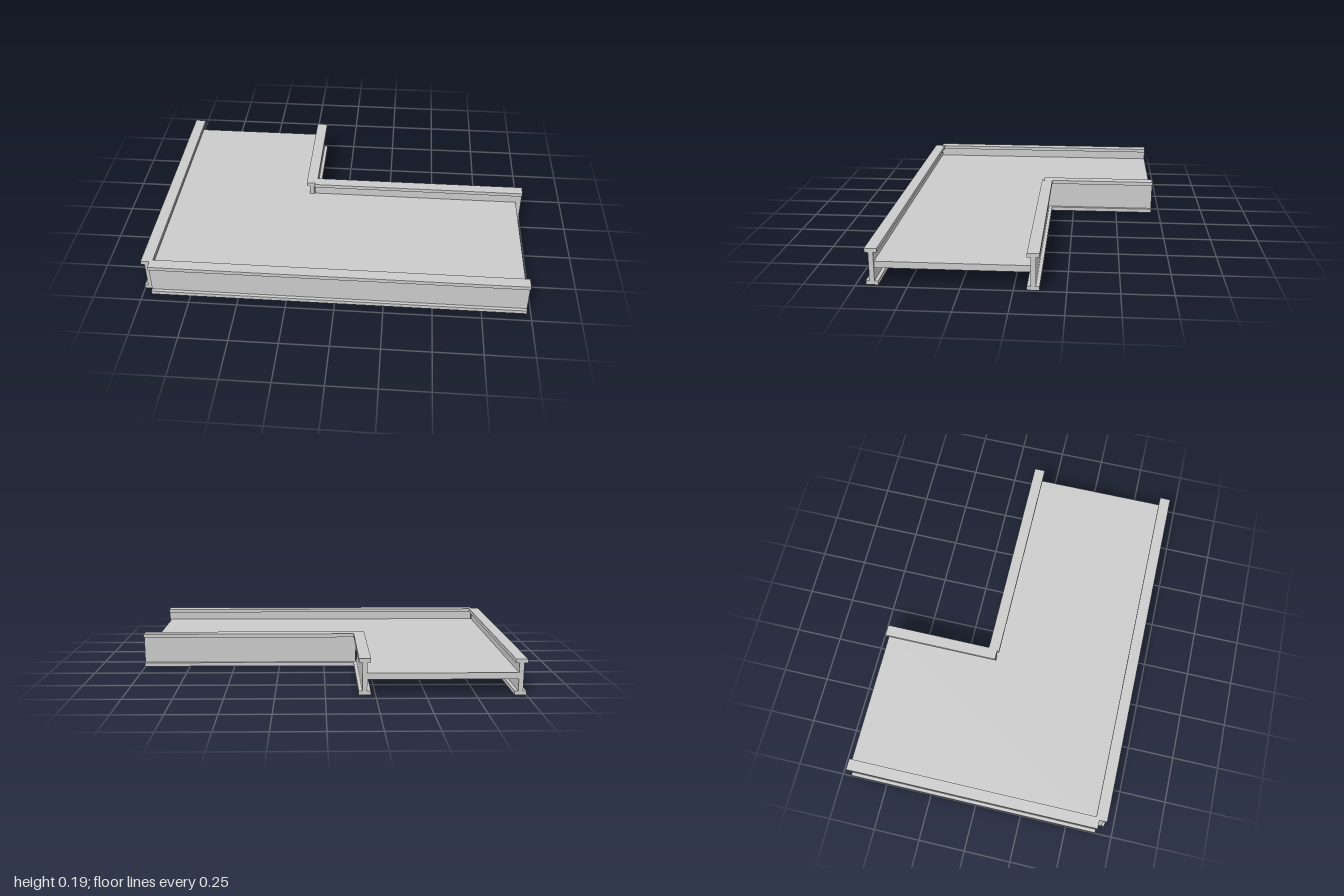
import * as THREE from 'three';

const material = new THREE.MeshStandardMaterial({ color: 0xcccccc, flatShading: true });
const FLANGE = 0.06, THICK = 0.02, WEB = 0.024, HEIGHT = 0.184;

// I-section beam extruded along +z, centred on its length, base at y = 0
function makeBeam(name, length) {
  const f = FLANGE / 2, w = WEB / 2, top = HEIGHT - THICK;
  const half = [[f, 0], [f, THICK], [w, THICK], [w, top], [f, top], [f, HEIGHT]];
  const mirrored = half.map(([x, y]) => [-x, y]).reverse();
  const shape = new THREE.Shape([...half, ...mirrored].map(([x, y]) => new THREE.Vector2(x, y)));
  const geometry = new THREE.ExtrudeGeometry(shape, { depth: length, bevelEnabled: false });
  geometry.translate(0, 0, -length / 2);
  const mesh = new THREE.Mesh(geometry, material);
  mesh.name = name;
  return mesh;
}

export function createModel() {
  const model = new THREE.Group();
  model.name = 'framedPlatform';

  // L-shaped deck, drawn in plan (shape y = -z) and laid flat
  const plan = [[-0.96, -0.66], [0.97, -0.66], [0.97, 0.08], [-0.19, 0.08], [-0.19, 0.7], [-0.96, 0.7]];
  const deckShape = new THREE.Shape(plan.map(([x, y]) => new THREE.Vector2(x, y)));
  const deckGeometry = new THREE.ExtrudeGeometry(deckShape, { depth: 0.033, bevelEnabled: false });
  deckGeometry.rotateX(-Math.PI / 2);
  const deck = new THREE.Mesh(deckGeometry, material);
  deck.name = 'deck';
  deck.position.y = 0.083;
  model.add(deck);

  // Edge beams: name, axis, start, end, centre line, base height
  const beams = [
    ['longSideBeam', 'z', -0.7, 0.66, -0.97, 0.001],
    ['frontBeam', 'x', -0.955, 0.98, 0.672, 0],
    ['innerSideBeam', 'z', -0.705, -0.075, -0.195, 0.006],
    ['innerBackBeam', 'x', -0.178, 1, -0.094, 0.005],
  ];
  for (const [name, axis, start, end, line, base] of beams) {
    const beam = makeBeam(name, end - start);
    const mid = (start + end) / 2;
    if (axis === 'x') {
      beam.rotation.y = Math.PI / 2;
      beam.position.set(mid, base, line);
    } else {
      beam.position.set(line, base, mid);
    }
    model.add(beam);
  }
  return model;
}
